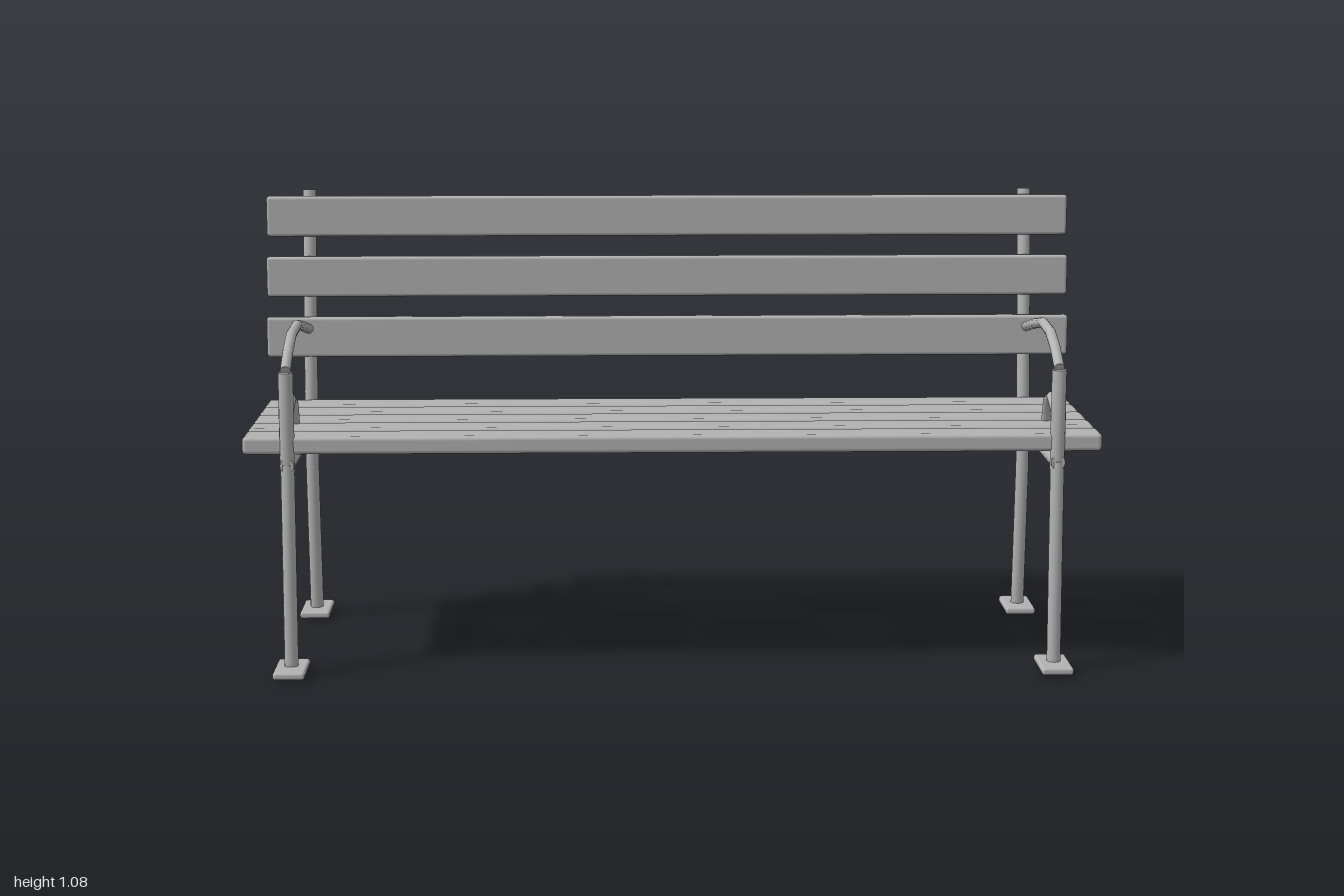
import * as THREE from 'three';
import { RoundedBoxGeometry } from 'three/addons/geometries/RoundedBoxGeometry.js';

// Mitred, capped round bar following [z, y] points in a plane of constant x
function barGeometry(points, r, sides = 12) {
  const p = points.map(([z, y]) => new THREE.Vector2(z, y));
  const dirs = p.slice(1).map((q, i) => q.clone().sub(p[i]).normalize());
  const pos = [], index = [];
  const ring = (i) => {
    const a = dirs[Math.max(i - 1, 0)], b = dirs[Math.min(i, dirs.length - 1)];
    const t = a.clone().add(b).normalize();
    const miter = r / t.dot(a);
    for (let j = 0; j < sides; j++) {
      const ang = (j / sides) * Math.PI * 2, s = Math.sin(ang) * miter;
      pos.push(Math.cos(ang) * r, p[i].y + s * t.x, p[i].x - s * t.y);
    }
  };
  p.forEach((_, i) => ring(i));
  for (let i = 0; i < p.length - 1; i++) {
    for (let j = 0; j < sides; j++) {
      const a = i * sides + j, b = i * sides + (j + 1) % sides;
      index.push(a, b, b + sides, a, b + sides, a + sides);
    }
  }
  // End caps with their own vertices so the rims stay sharp
  for (const i of [0, p.length - 1]) {
    const base = pos.length / 3;
    ring(i);
    for (let j = 1; j < sides - 1; j++) {
      if (i === 0) index.push(base, base + j + 1, base + j);
      else index.push(base, base + j, base + j + 1);
    }
  }
  const g = new THREE.BufferGeometry();
  g.setAttribute('position', new THREE.Float32BufferAttribute(pos, 3));
  g.setIndex(index);
  g.computeVertexNormals();
  return g;
}

export function createModel() {
  const model = new THREE.Group();
  model.name = 'bench';
  const grey = new THREE.MeshStandardMaterial({ color: 0xb2b2b2 });
  grey.name = 'grey';

  const add = (parent, name, geometry, x = 0, y = 0, z = 0) => {
    const mesh = new THREE.Mesh(geometry, grey);
    mesh.name = name;
    mesh.position.set(x, y, z);
    parent.add(mesh);
  };

  // Seat: five flat slats
  const seatSlat = new RoundedBoxGeometry(2, 0.042, 0.088, 2, 0.01);
  for (let i = 0; i < 5; i++) add(model, 'seatSlat', seatSlat, 0, 0.545, 0.229 - i * 0.109);

  // Backrest: three upright slats stepping backwards
  const backSlat = new RoundedBoxGeometry(2, 0.1, 0.026, 2, 0.008);
  for (let i = 0; i < 3; i++) add(model, 'backSlat', backSlat, 0, 0.724 + i * 0.148, -0.25 - i * 0.0265);

  // Side frames: the same bars on both sides
  const bars = {
    frontLeg: barGeometry([[0.287, 0.008], [0.267, 0.5]], 0.0165),
    armPost: barGeometry([[0.265, 0.482], [0.265, 0.716]], 0.0175),
    backPost: barGeometry([[-0.285, 0.003], [-0.253, 0.384], [-0.257, 0.51],
      [-0.282, 0.7], [-0.333, 1.083]], 0.0165),
    seatRail: barGeometry([[0.28, 0.499], [-0.258, 0.499]], 0.017),
    armrest: barGeometry([[0.262, 0.72], [0.195, 0.759], [0.123, 0.784], [0.014, 0.791],
      [-0.1, 0.773], [-0.25, 0.744]], 0.0125),
    armLoop: barGeometry([[0.262, 0.575], [0.215, 0.615], [0.16, 0.636], [0.11, 0.617],
      [0.088, 0.56]], 0.011),
  };
  const foot = new RoundedBoxGeometry(0.075, 0.018, 0.135, 2, 0.007);
  for (const side of [1, -1]) {
    const frame = new THREE.Group();
    frame.name = side > 0 ? 'leftFrame' : 'rightFrame';
    frame.position.x = side * 0.896;
    for (const [name, geometry] of Object.entries(bars)) add(frame, name, geometry);
    add(frame, 'frontFoot', foot, 0, 0.016, 0.288);
    add(frame, 'rearFoot', foot, 0, 0.016, -0.288);
    model.add(frame);
  }
  return model;
}
